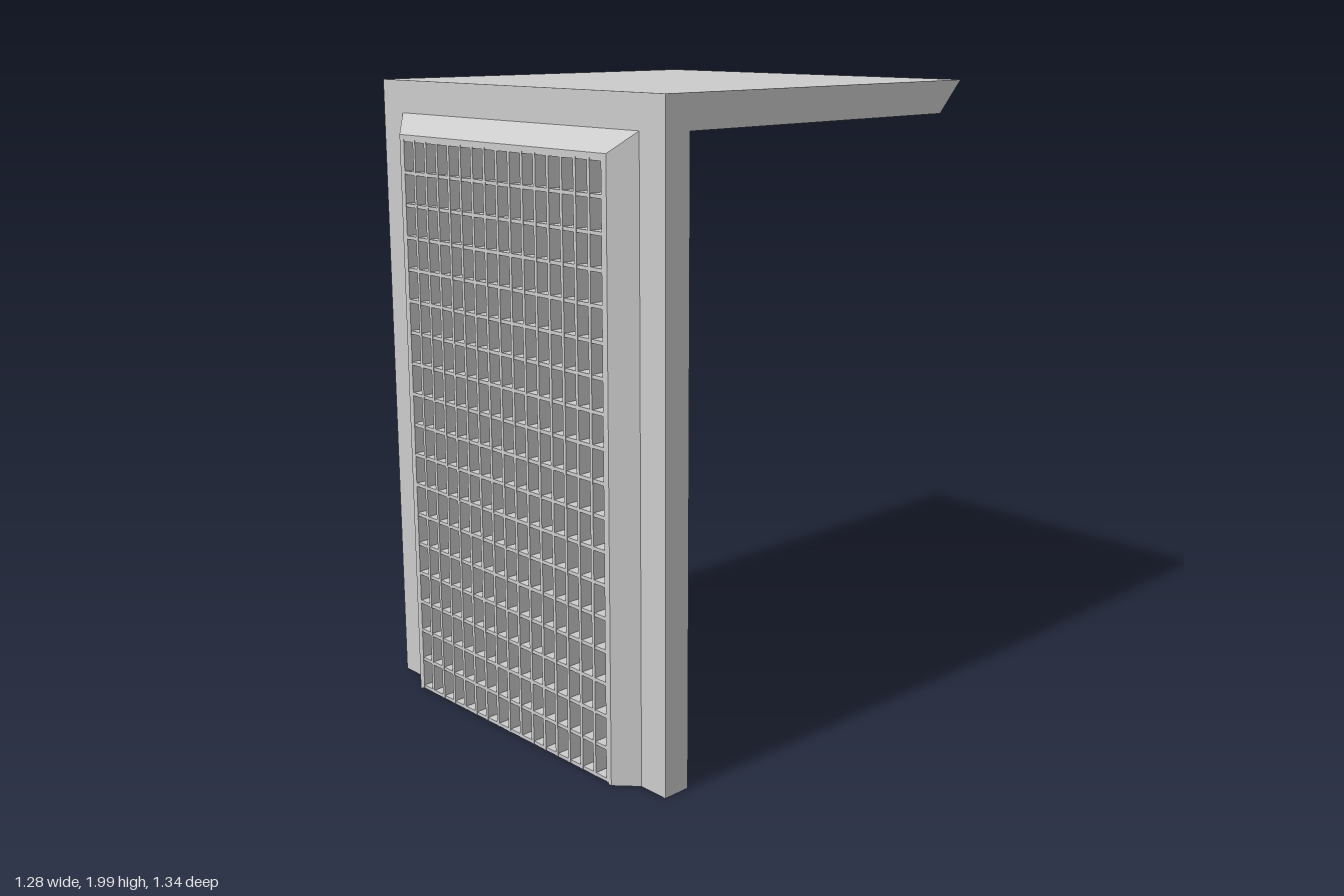
import * as THREE from 'three';

const BOTTOM = 0.01, TOP = 2, HALF = 0.64, FRONT = 0.61, BACK = -0.67, BULGE = 0.67;
const sheet = new THREE.MeshStandardMaterial({ color: 0xcccccc, side: THREE.DoubleSide, flatShading: true });
const solid = new THREE.MeshStandardMaterial({ color: 0xcccccc, flatShading: true });

function add(parent, name, geometry, material, x = 0, y = 0, z = 0) {
  const mesh = new THREE.Mesh(geometry, material);
  mesh.name = name;
  mesh.position.set(x, y, z);
  parent.add(mesh);
  return mesh;
}

// Door surround: arch-shaped sections (half width, top, z) joined in sequence
function surroundGeometry(sections) {
  const rows = sections.map(([w, top, z]) => [
    [-w, BOTTOM, z], [-w, top, z], [w, top, z], [w, BOTTOM, z],
  ]);
  const positions = [];
  for (let i = 0; i < rows.length - 1; i++) {
    for (let j = 0; j < 3; j++) {
      const a = rows[i][j], b = rows[i][j + 1], c = rows[i + 1][j + 1], d = rows[i + 1][j];
      positions.push(...a, ...d, ...c, ...a, ...c, ...b);
    }
  }
  const geometry = new THREE.BufferGeometry();
  geometry.setAttribute('position', new THREE.Float32BufferAttribute(positions, 3));
  geometry.computeVertexNormals();
  return geometry;
}

export function createModel() {
  const model = new THREE.Group();
  model.name = 'boothShell';
  const depth = FRONT - BACK, midZ = (FRONT + BACK) / 2, height = TOP - BOTTOM;

  // Roof and the one full side wall
  add(model, 'roof', new THREE.PlaneGeometry(HALF * 2, depth).rotateX(-Math.PI / 2), sheet, 0, TOP, midZ);
  add(model, 'sideWall', new THREE.PlaneGeometry(depth, height).rotateY(-Math.PI / 2), sheet,
    -HALF, (TOP + BOTTOM) / 2, midZ);

  // Narrow flange round the open side, mitred at the back
  const flange = new THREE.Shape([
    [FRONT, BOTTOM], [FRONT, TOP], [BACK, TOP], [-0.57, 1.9], [0.52, 1.9], [0.52, BOTTOM],
  ].map(([z, y]) => new THREE.Vector2(z, y)));
  add(model, 'openSideFlange', new THREE.ShapeGeometry(flange).rotateY(-Math.PI / 2), sheet, HALF);

  // Flat front frame, chamfer and narrow lip
  add(model, 'frontSurround', surroundGeometry([
    [HALF, TOP, FRONT], [0.54, 1.9, FRONT], [0.475, 1.84, BULGE], [0.462, 1.825, BULGE],
  ]), sheet);

  // Lattice grille with a thin backing sheet
  const grille = new THREE.Group();
  grille.name = 'grille';
  model.add(grille);
  const w = 0.465, y0 = 0.015, y1 = 1.83, bar = 0.011, back = 0.575;
  const cols = 16, rows = 18, barDepth = BULGE - back, barZ = (BULGE + back) / 2;
  const upright = new THREE.BoxGeometry(bar, y1 - y0, barDepth);
  const rail = new THREE.BoxGeometry(w * 2, bar, barDepth - 0.002);
  for (let i = 0; i <= cols; i++) {
    const x = THREE.MathUtils.lerp(-w + bar / 2, w - bar / 2, i / cols);
    add(grille, 'grilleUpright', upright, solid, x, (y0 + y1) / 2, barZ);
  }
  for (let i = 0; i <= rows; i++) {
    const y = THREE.MathUtils.lerp(y0 + bar / 2, y1 - bar / 2, i / rows);
    add(grille, 'grilleRail', rail, solid, 0, y, barZ);
  }
  add(grille, 'grilleBacking', new THREE.PlaneGeometry(w * 2, y1 - y0), sheet, 0, (y0 + y1) / 2, 0.62);
  return model;
}
